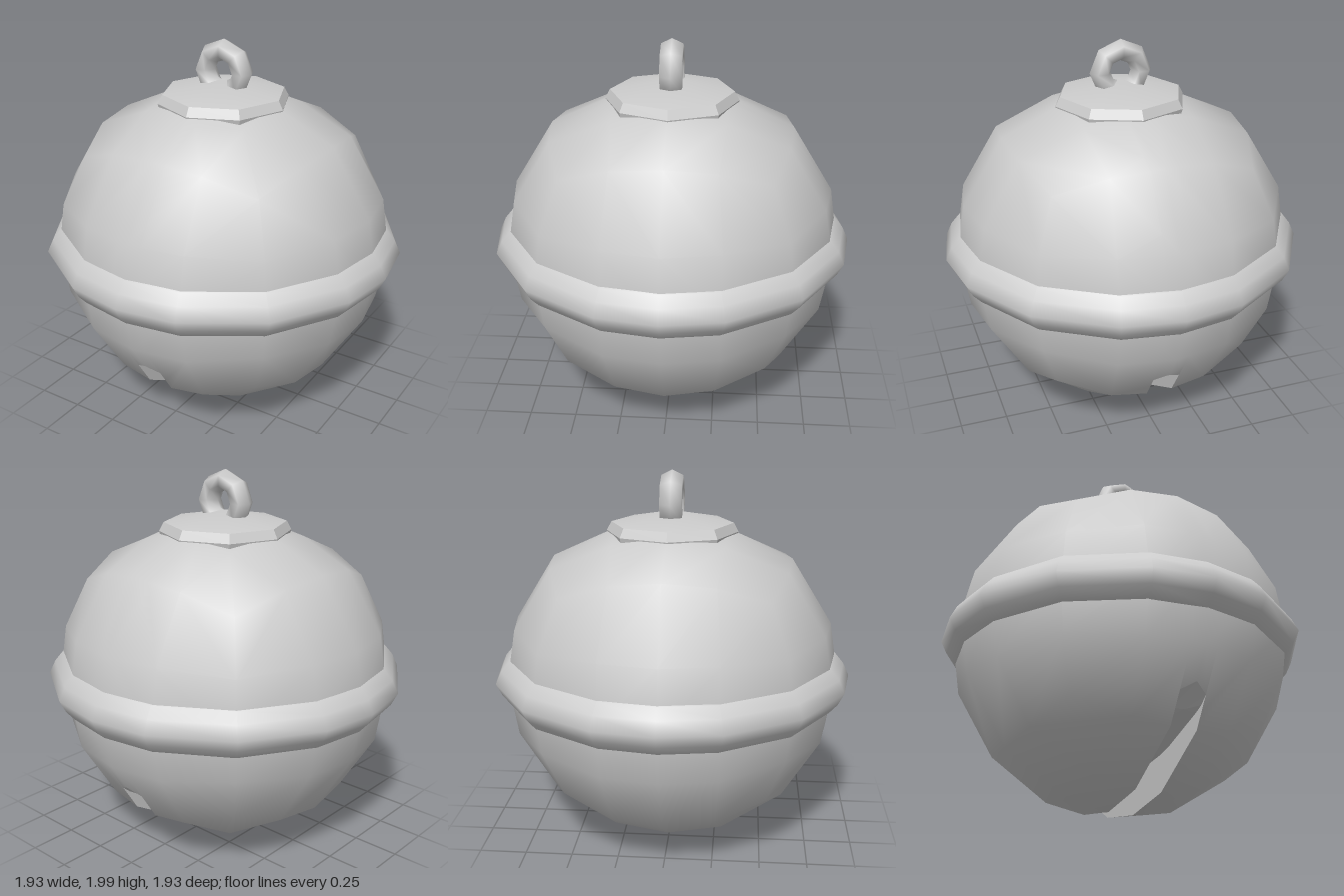
import * as THREE from 'three';
import { toCreasedNormals } from 'three/addons/utils/BufferGeometryUtils.js';

const R = 0.904, HALF = 0.07;
const CENTRE = new THREE.Vector3(0, R, 0);
const material = new THREE.MeshStandardMaterial({ color: 0xcccccc });
const twoSided = new THREE.MeshStandardMaterial({ color: 0xcccccc, side: THREE.DoubleSide });

function add(group, name, geometry, mat = material) {
  const mesh = new THREE.Mesh(geometry, mat);
  mesh.name = name;
  group.add(mesh);
  return mesh;
}

// Point of a rounded cube with 4 x 4 quads per side; the top is flattened under the cap
function spherePoint(side, i, j) {
  const inner = (a, b) => (Math.abs(a) === 1 ? Math.sign(a) * (0.337 + 0.09 * (b / 2) ** 2) : a / 2);
  const u = inner(i, j), v = inner(j, i);
  const c = side < 3 ? [u, v, 1] : [v, u, -1];
  const s = side % 3;
  const p = new THREE.Vector3(c[s], c[(s + 1) % 3], c[(s + 2) % 3]).setLength(R).add(CENTRE);
  p.y = Math.min(p.y, 1.7, 1.835 - 0.46 * Math.hypot(p.x, p.z));
  return p;
}

function sphereTriangles() {
  const tris = [];
  for (let side = 0; side < 6; side++)
    for (let i = -2; i < 2; i++)
      for (let j = -2; j < 2; j++) {
        const [a, b, c, d] = [[i, j], [i + 1, j], [i + 1, j + 1], [i, j + 1]].map(([m, n]) => spherePoint(side, m, n));
        tris.push([a, b, c], [a, c, d]);
      }
  return tris;
}

// Part of a convex polygon where dist(p) >= 0
function clip(poly, dist) {
  const out = [];
  poly.forEach((p, k) => {
    const q = poly[(k + 1) % poly.length], a = dist(p), b = dist(q);
    if (a >= 0) out.push(p);
    if ((a > 0 && b < 0) || (a < 0 && b > 0)) out.push(p.clone().lerp(q, a / (a - b)));
  });
  return out;
}

function polygonGeometry(polys) {
  const pos = [];
  for (const poly of polys)
    for (let k = 1; k < poly.length - 1; k++)
      for (const p of [poly[0], poly[k], poly[k + 1]]) pos.push(p.x, p.y, p.z);
  const geo = new THREE.BufferGeometry();
  geo.setAttribute('position', new THREE.Float32BufferAttribute(pos, 3));
  geo.computeVertexNormals();
  return geo;
}

// Round shell with a sunken slot running front to back underneath
function addBody(group) {
  const shell = [], floor = [], walls = [];
  const sunk = (p) => new THREE.Vector3(p.x, Math.max(p.y, 0.22 + 0.35 * p.z * p.z), p.z);
  for (const tri of sphereTriangles()) {
    shell.push(clip(tri, (p) => p.x - HALF), clip(tri, (p) => -HALF - p.x));
    for (const s of [1, -1]) {
      const strip = clip(clip(tri, (p) => s * p.x), (p) => HALF - s * p.x);
      const end = (p) => p.y - (0.46 - 0.57 * s * p.x);
      shell.push(clip(strip, end));
      const cut = clip(strip, (p) => -end(p));
      floor.push(cut.map(sunk));
      cut.forEach((p, k) => {
        const q = cut[(k + 1) % cut.length];
        const onSide = (v) => Math.abs(v.x - s * HALF) < 1e-6;
        if (onSide(p) && onSide(q)) walls.push([p, q, sunk(q), sunk(p)]);
      });
    }
  }
  const geo = polygonGeometry(shell);
  const pos = geo.attributes.position, n = new THREE.Vector3();
  for (let i = 0; i < pos.count; i++) {
    n.fromBufferAttribute(pos, i).sub(CENTRE).normalize();
    geo.attributes.normal.setXYZ(i, n.x, n.y, n.z);
  }
  add(group, 'shell', geo);
  add(group, 'slotFloor', polygonGeometry(floor), twoSided);
  add(group, 'slotWalls', polygonGeometry(walls), twoSided);
}

const profile = (list) => list.map(([x, y]) => new THREE.Vector2(x, y));

// Raised band round the middle, its facets matching the shell's spacing
function addBand(group) {
  const geo = new THREE.LatheGeometry(profile([[0.87, 0.775], [0.892, 0.785], [0.935, 0.835], [0.967, 0.9], [0.935, 0.968], [0.892, 1.02], [0.87, 1.03]]), 16);
  const pos = geo.attributes.position;
  for (let i = 0; i < pos.count; i++) {
    const x = pos.getX(i), z = pos.getZ(i), r = Math.hypot(x, z);
    let a = Math.atan2(x, z);
    a -= 0.066 * Math.sin(4 * a);
    pos.setXYZ(i, r * Math.sin(a), pos.getY(i), r * Math.cos(a));
  }
  add(group, 'band', geo);
}

export function createModel() {
  const group = new THREE.Group();
  group.name = 'jingleBell';
  addBody(group);
  addBand(group);

  // Eight-sided cap
  const cap = new THREE.LatheGeometry(profile([[0.34, 1.64], [0.35, 1.68], [0.325, 1.727], [0, 1.79]]), 8);
  add(group, 'cap', toCreasedNormals(cap, 0.5));

  // Hanging loop, its foot buried in the cap
  const loop = add(group, 'hangingLoop', new THREE.TorusGeometry(0.11, 0.055, 6, 8));
  loop.position.y = 1.835;
  loop.scale.z = 1.2;
  return group;
}
